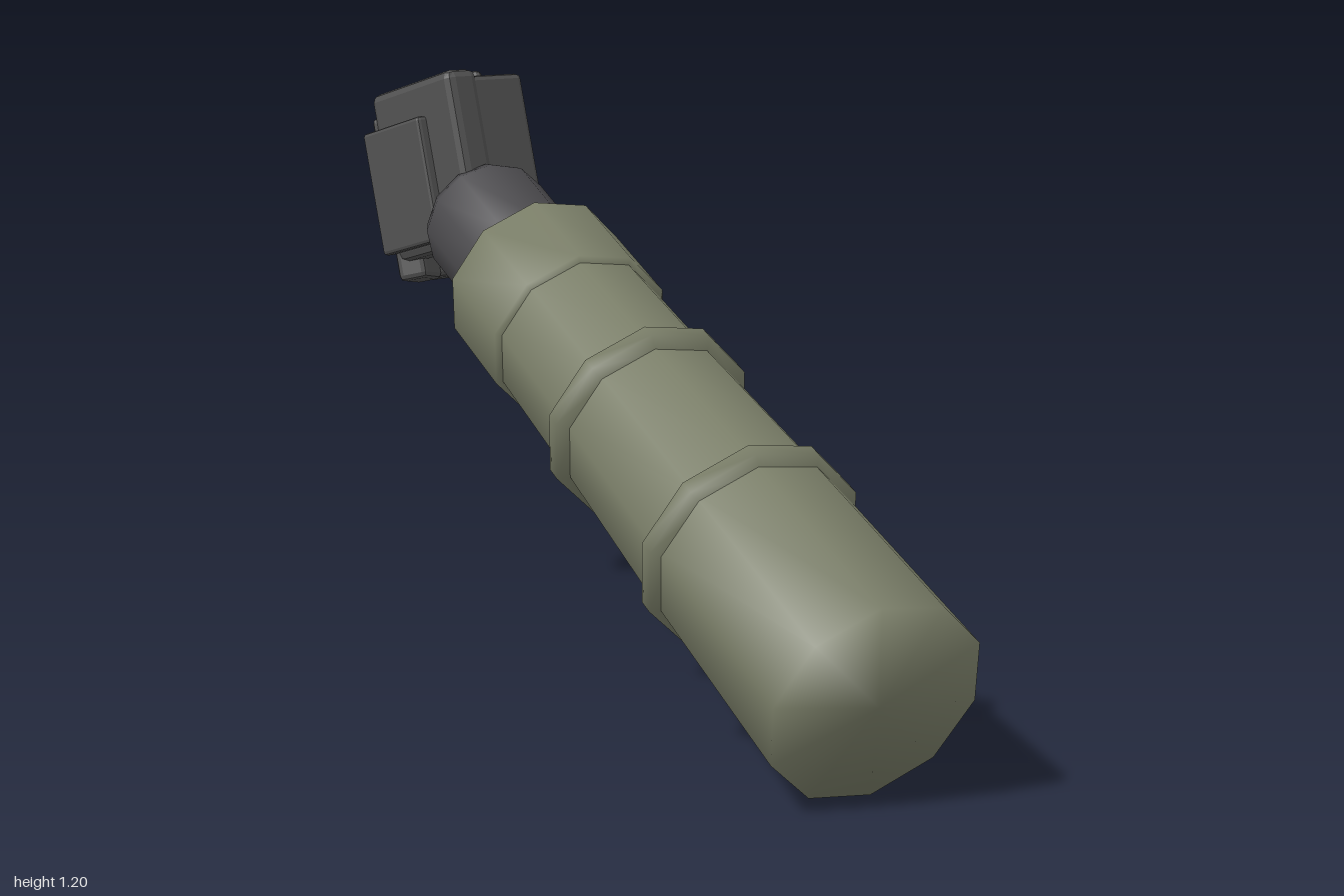
import * as THREE from 'three';
import { RoundedBoxGeometry } from 'three/addons/geometries/RoundedBoxGeometry.js';

export function createModel() {
  const model = new THREE.Group();
  const mat = (name, color) => {
    const m = new THREE.MeshStandardMaterial({ color });
    m.name = name;
    return m;
  };
  const olive = mat('olive cloth', 0x7a7e68);
  const dark = mat('dark glove', 0x4b4a4d);
  const grey = mat('grey hand', 0x525252);
  const teal = mat('teal accent', 0x6fc2a0);
  teal.side = THREE.DoubleSide;

  const add = (parent, name, geometry, material) => {
    const mesh = new THREE.Mesh(geometry, material);
    mesh.name = name;
    parent.add(mesh);
    return mesh;
  };

  // Forearm frame: local y runs from the elbow to the wrist
  const arm = new THREE.Group();
  arm.name = 'forearm';
  const axis = new THREE.Vector3(0.239, 0.398, -0.885).normalize();
  const side = new THREE.Vector3(1, 0, 0).addScaledVector(axis, -axis.x).normalize();
  const up = new THREE.Vector3().crossVectors(side, axis);
  arm.quaternion.setFromRotationMatrix(new THREE.Matrix4().makeBasis(side, axis, up));
  arm.position.set(-0.2, 0.2, 0.9);
  model.add(arm);

  // Turned part from [radius, height] pairs
  const turned = (name, profile, material, sides = 10, start = Math.PI / 10, arc = Math.PI * 2) =>
    add(arm, name, new THREE.LatheGeometry(
      profile.map(([r, t]) => new THREE.Vector2(r, t)), sides, start, arc), material);

  // Sleeve sections, rolled rings and cuff
  turned('lowerSleeve', [[0, -0.01], [0.212, 0], [0.203, 0.48]], olive);
  turned('middleSleeve', [[0.203, 0.48], [0.188, 0.915]], olive);
  turned('upperSleeve', [[0.188, 0.915], [0.181, 1.25]], olive);
  for (const [t, r] of [[0.48, 0.222], [0.915, 0.212]]) {
    turned('sleeveRing', [[r - 0.03, t - 0.035], [r, t - 0.016], [r, t + 0.016], [r - 0.03, t + 0.035]], olive);
  }
  turned('cuff', [[0.17, 1.225], [0.195, 1.235], [0.195, 1.455], [0.1, 1.46]], olive);

  // Wrist band, glove and the small accent on the outer side
  turned('wristBand', [[0.12, 1.44], [0.136, 1.455], [0.136, 1.495], [0.12, 1.505]], dark, 12);
  turned('wrist', [[0.12, 1.495], [0.137, 1.51], [0.139, 1.715], [0.125, 1.745], [0, 1.75]], dark, 12);
  turned('wristAccent', [[0.137, 1.455], [0.149, 1.462], [0.149, 1.49], [0.137, 1.505]],
    teal, 3, Math.PI * 1.42, Math.PI * 0.25);

  // Hand frame, tipped forward
  const hand = new THREE.Group();
  hand.name = 'hand';
  hand.position.set(0, 0.995, -0.75);
  hand.rotation.x = -0.26;
  model.add(hand);

  // Bevelled block with flat faces
  const block = (name, size, position, bevel = 0.012) => {
    const geometry = new RoundedBoxGeometry(...size, 1, bevel).toNonIndexed();
    geometry.computeVertexNormals();
    const mesh = add(hand, name, geometry, grey);
    mesh.position.set(...position);
    return mesh;
  };

  // Finger bone between two [x, z] points at height y
  const bone = (name, a, b, y, thick, height) => {
    const dx = b[0] - a[0], dz = b[1] - a[1];
    const mesh = block(name, [thick, height, Math.hypot(dx, dz) + 0.015],
      [(a[0] + b[0]) / 2, y, (a[1] + b[1]) / 2]);
    mesh.rotation.y = Math.atan2(dx, dz);
  };
  const tip = (name, x, y, z, r) =>
    add(hand, name, new THREE.SphereGeometry(r, 10, 8), grey).position.set(x, y, z);

  // Palm: back plate, heel and knuckle guard
  block('palmPlate', [0.08, 0.37, 0.28], [0.18, 0, 0], 0.018);
  block('palmHeel', [0.17, 0.35, 0.09], [0.262, -0.005, 0.09]);
  block('handGuard', [0.03, 0.27, 0.2], [0.133, -0.03, -0.06], 0.008);

  // Four curled fingers
  for (let i = 0; i < 4; i++) {
    const y = 0.098 - i * 0.095;
    bone('fingerBase', [0.165, -0.125], [0.255, -0.19], y, 0.065, 0.078);
    bone('fingerMiddle', [0.265, -0.195], [0.36, -0.185], y, 0.06, 0.072);
    bone('fingerEnd', [0.383, -0.195], [0.383, -0.07], y - 0.004, 0.058, 0.064);
    tip('fingerTip', 0.383, y - 0.008, -0.06, 0.031);
  }

  // Thumb across the top
  bone('thumbBase', [0.25, 0.06], [0.37, -0.1], 0.15, 0.075, 0.08);
  bone('thumbEnd', [0.375, -0.1], [0.385, -0.19], 0.165, 0.065, 0.075);
  tip('thumbTip', 0.385, 0.17, -0.195, 0.034);

  return model;
}
